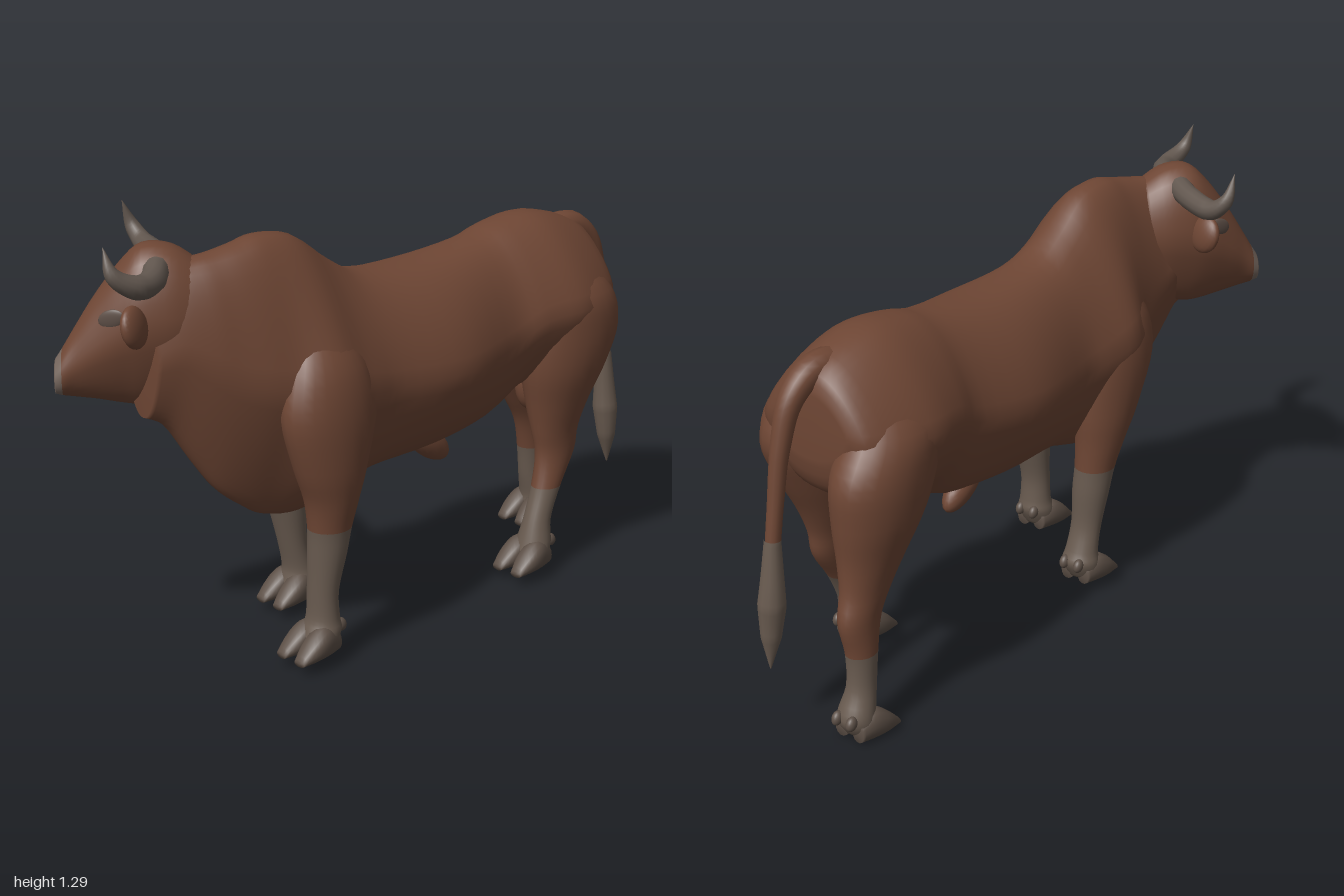
import * as THREE from 'three';
import { mergeVertices } from 'three/addons/utils/BufferGeometryUtils.js';

const paint = (name, color) => {
  const m = new THREE.MeshStandardMaterial({ color });
  m.name = name;
  return m;
};
const STEPS = 4; // loft rings per station

// Smoothly interpolate rows of numbers
function smoothRows(rows) {
  const out = [];
  const at = i => rows[Math.min(Math.max(i, 0), rows.length - 1)];
  for (let i = 0; i < rows.length - 1; i++) {
    for (let k = 0; k < STEPS; k++) {
      const t = k / STEPS;
      out.push(at(i).map((b, j) => {
        const a = at(i - 1)[j], c = at(i + 1)[j], d = at(i + 2)[j];
        return b + 0.5 * t * (c - a + t * (2 * a - 5 * b + 4 * c - d + t * (3 * (b - c) + d - a)));
      }));
    }
  }
  out.push(at(rows.length - 1));
  return out;
}

// Skin a list of rings, closing both ends; split is the station where the second material begins
function skin(rings, split) {
  const n = rings[0].length;
  const centre = ring => {
    const c = ring.reduce((s, p) => s.add(p), new THREE.Vector3()).divideScalar(n);
    return ring.map(() => c);
  };
  const all = [centre(rings[0]), ...rings, centre(rings[rings.length - 1])];
  const index = [];
  for (let i = 0; i < all.length - 1; i++) {
    for (let j = 0; j < n; j++) {
      const a = i * n + j, b = i * n + (j + 1) % n;
      index.push(a, b, a + n, b, b + n, a + n);
    }
  }
  const g = new THREE.BufferGeometry().setFromPoints(all.flat());
  g.setIndex(index);
  g.computeVertexNormals();
  if (split !== undefined) {
    const cut = (split * STEPS + 1) * n * 6;
    g.addGroup(0, cut, 0);
    g.addGroup(cut, index.length - cut, 1);
  }
  return g;
}

// Rows run towards +z: [z, centreX, halfWidth, top, bottom, topTaper, bottomTaper]
function loftZ(rows, n = 32, split) {
  return skin(smoothRows(rows).map(([z, cx, w, top, bottom, kt = 0, kb = 0]) =>
    Array.from({ length: n }, (_, j) => {
      const a = j / n * Math.PI * 2, c = Math.cos(a), s = Math.sin(a);
      const taper = 1 - (s > 0 ? kt : kb) * Math.abs(s);
      return new THREE.Vector3(cx + w * Math.sign(c) * Math.abs(c) ** 0.85 * taper,
        (top + bottom) / 2 + (top - bottom) / 2 * s, z);
    })), split);
}

// Rows run downwards: [y, x, z, radiusX, radiusZ]
function loftDown(rows, n = 20, split) {
  return skin(smoothRows(rows).map(([y, x, z, rx, rz]) =>
    Array.from({ length: n }, (_, j) => {
      const a = j / n * Math.PI * 2;
      return new THREE.Vector3(x + rx * Math.cos(a), y, z + rz * Math.sin(a));
    })), split);
}

// Tube whose radius follows a list of values
function taperedTube(points, radii, segments = 28) {
  const curve = new THREE.CatmullRomCurve3(points.map(p => new THREE.Vector3(...p)));
  let g = new THREE.TubeGeometry(curve, segments, 1, 12);
  const pos = g.attributes.position, v = new THREE.Vector3();
  for (let i = 0; i < pos.count; i++) {
    const t = Math.floor(i / 13) / segments, f = t * (radii.length - 1);
    const k = Math.min(Math.floor(f), radii.length - 2);
    const r = THREE.MathUtils.lerp(radii[k], radii[k + 1], f - k);
    const p = curve.getPointAt(t);
    v.fromBufferAttribute(pos, i).sub(p).multiplyScalar(r).add(p);
    pos.setXYZ(i, v.x, v.y, v.z);
  }
  g.deleteAttribute('uv');
  g.deleteAttribute('normal');
  g = mergeVertices(g, 1e-5);
  g.computeVertexNormals();
  return g;
}

export function createModel() {
  const brown = paint('brown coat', 0x6e4634);
  const tan = paint('grey brown lower legs', 0x685a4f);
  const hoofMat = paint('hoof', 0x5c4f46);
  const hornMat = paint('horn', 0x62574f);
  const muzzleMat = paint('muzzle', 0x76675e);
  const patchMat = paint('eye patch', 0x5e4f47);

  const bull = new THREE.Group();
  bull.name = 'bull';
  const add = (parent, name, geometry, material) => {
    const m = new THREE.Mesh(geometry, material);
    m.name = name;
    parent.add(m);
    return m;
  };
  const blob = (parent, name, material, p, s, r = [0, 0, 0]) => {
    const m = add(parent, name, new THREE.SphereGeometry(1, 20, 14), material);
    m.position.set(...p);
    m.scale.set(...s);
    m.rotation.set(...r);
    return m;
  };

  // Torso, hump, neck and dewlap
  add(bull, 'torso', loftZ([
    [-0.81, 0.055, 0.13, 0.99, 0.8, 0.3, 0.1],
    [-0.77, 0.055, 0.2, 1.065, 0.69, 0.35, 0.1],
    [-0.6, 0.055, 0.26, 1.12, 0.6, 0.35, 0.15],
    [-0.45, 0.052, 0.238, 1.11, 0.585, 0.3, 0.15],
    [-0.33, 0.05, 0.22, 1.08, 0.51, 0.2, 0.2],
    [-0.1, 0.05, 0.257, 1.06, 0.485, 0.15, 0.2],
    [0.13, 0.047, 0.226, 1.075, 0.475, 0.2, 0.15],
    [0.25, 0.046, 0.24, 1.135, 0.44, 0.4, 0.25],
    [0.37, 0.048, 0.255, 1.22, 0.405, 0.48, 0.45],
    [0.48, 0.045, 0.198, 1.24, 0.42, 0.35, 0.6],
    [0.56, 0.04, 0.168, 1.225, 0.47, 0.25, 0.6],
    [0.63, 0.025, 0.145, 1.21, 0.53, 0.15, 0.55],
    [0.69, 0.005, 0.13, 1.2, 0.62, 0.1, 0.45],
    [0.76, -0.02, 0.105, 1.18, 0.735, 0.15, 0.35],
    [0.82, -0.04, 0.075, 1.1, 0.77, 0.2, 0.3],
  ], 40), brown);
  blob(bull, 'sheath', brown, [0.05, 0.47, -0.175], [0.04, 0.045, 0.1], [-0.65, 0, 0]);
  blob(bull, 'scrotum', brown, [0.055, 0.56, -0.62], [0.045, 0.09, 0.05]);

  // Head, turned towards its right
  const head = new THREE.Group();
  head.name = 'head';
  head.position.set(-0.06, 0, 0.74);
  head.rotation.y = -0.68;
  bull.add(head);
  add(head, 'skull', loftZ([
    [-0.11, 0, 0.1, 1.19, 0.86, 0, 0.3],
    [-0.04, 0, 0.122, 1.235, 0.81, 0, 0.35],
    [0.04, 0, 0.126, 1.24, 0.79, 0, 0.35],
    [0.1, 0, 0.116, 1.19, 0.795, 0.05, 0.35],
    [0.17, 0.005, 0.092, 1.1, 0.81, 0.1, 0.25],
    [0.225, 0.012, 0.07, 1.015, 0.82, 0.05, 0.15],
    [0.262, 0.018, 0.06, 0.955, 0.828, 0, 0],
    [0.282, 0.02, 0.052, 0.925, 0.834, 0, 0],
  ], 32, 6), [brown, muzzleMat]);
  for (const [s, reach, lead, ear] of [[1, 0.22, 0.13, 0.16], [-1, 0.275, 0.1, 0.14]]) {
    const side = s > 0 ? 'left' : 'right';
    add(head, side + 'Horn', taperedTube([
      [0.06 * s, 1.185, 0], [0.14 * s, 1.175, 0.01], [(reach - 0.02) * s, 1.175, 0.045],
      [(reach + 0.012) * s, 1.215, lead - 0.025], [reach * s, 1.29, lead],
    ], [0.036, 0.035, 0.033, 0.022, 0.0005]), hornMat);
    blob(head, side + 'Ear', brown, [ear * s, 1.055, 0.06], [0.056, 0.06, 0.026], [0.2, -0.45 * s, -0.4 * s]);
    blob(head, side + 'EyePatch', patchMat, [0.098 * s, 1.06, 0.122], [0.008, 0.026, 0.04], [0.4, -0.38 * s, 0.1 * s]);
    blob(head, side + 'Nostril', patchMat, [0.02 + 0.03 * s, 0.895, 0.278], [0.011, 0.01, 0.006]);
  }

  // Tail with a tuft
  add(bull, 'tail', taperedTube([
    [0.06, 1.04, -0.68], [0.07, 1.045, -0.77], [0.08, 0.985, -0.845], [0.085, 0.86, -0.89],
    [0.085, 0.7, -0.92], [0.085, 0.56, -0.942],
  ], [0.05, 0.042, 0.032, 0.026, 0.023, 0.022]), brown);
  add(bull, 'tailTuft', taperedTube([
    [0.085, 0.6, -0.938], [0.085, 0.45, -0.95], [0.09, 0.33, -0.957], [0.09, 0.21, -0.968],
  ], [0.024, 0.032, 0.041, 0.03, 0.002]), tan);

  // Legs: [y, offset from middle, z, radiusX, radiusZ]
  const frontRows = [
    [0.99, 0.11, 0.37, 0.05, 0.07], [0.88, 0.15, 0.375, 0.083, 0.13], [0.75, 0.167, 0.38, 0.095, 0.158],
    [0.6, 0.176, 0.382, 0.086, 0.12], [0.5, 0.176, 0.38, 0.073, 0.085], [0.41, 0.172, 0.385, 0.061, 0.066],
    [0.33, 0.168, 0.392, 0.058, 0.056], [0.22, 0.164, 0.405, 0.049, 0.043], [0.14, 0.163, 0.405, 0.052, 0.046],
    [0.1, 0.163, 0.41, 0.06, 0.056], [0.05, 0.163, 0.43, 0.056, 0.05],
  ];
  const rearRows = [
    [0.99, 0.11, -0.62, 0.05, 0.09], [0.89, 0.143, -0.63, 0.105, 0.155], [0.78, 0.148, -0.635, 0.118, 0.18],
    [0.66, 0.147, -0.61, 0.11, 0.155], [0.55, 0.143, -0.59, 0.084, 0.115], [0.46, 0.145, -0.58, 0.06, 0.088],
    [0.38, 0.15, -0.578, 0.048, 0.074], [0.28, 0.157, -0.535, 0.043, 0.05], [0.18, 0.16, -0.495, 0.042, 0.044],
    [0.1, 0.16, -0.48, 0.056, 0.054], [0.05, 0.16, -0.46, 0.054, 0.05],
  ];
  const toeRows = [
    [-0.05, 0, 0.022, 0.095, 0.035], [0, 0, 0.036, 0.125, 0.03],
    [0.05, 0, 0.037, 0.1, 0.03], [0.1, 0, 0.02, 0.05, 0.03],
  ];
  const leg = (name, rows, s, split, shift, drop) => {
    const g = new THREE.Group();
    g.name = name;
    bull.add(g);
    const placed = rows.map(([y, x, z, rx, rz]) =>
      [y - drop * (1 - y), 0.055 + x * s, z + shift(y), rx, rz]);
    add(g, name + 'Limb', loftDown(placed, 24, split), [brown, tan]);
    const [, x, z] = placed[placed.length - 1];
    for (const e of [1, -1]) {
      const toe = add(g, name + 'Toe', loftZ(toeRows, 14), hoofMat);
      toe.position.set(x + 0.033 * e, -drop, z);
      toe.rotation.y = 0.06 * e;
      blob(g, name + 'Dewclaw', hoofMat, [x + 0.026 * e, 0.105 - drop, z - 0.07], [0.015, 0.022, 0.018], [0.5, 0, 0]);
    }
  };
  const back = (from, span, amount, power) => y =>
    -amount * THREE.MathUtils.clamp((from - y) / span, 0, 1) ** power;
  leg('leftFrontLeg', frontRows, 1, 5, () => 0, 0);
  leg('rightFrontLeg', frontRows, -1, 5, back(0.8, 0.7, 0.2, 0.85), 0);
  leg('leftRearLeg', rearRows, 1, 7, () => 0, 0);
  leg('rightRearLeg', rearRows, -1, 7, back(0.9, 0.8, 0.36, 1.1), 0.03);

  return bull;
}
